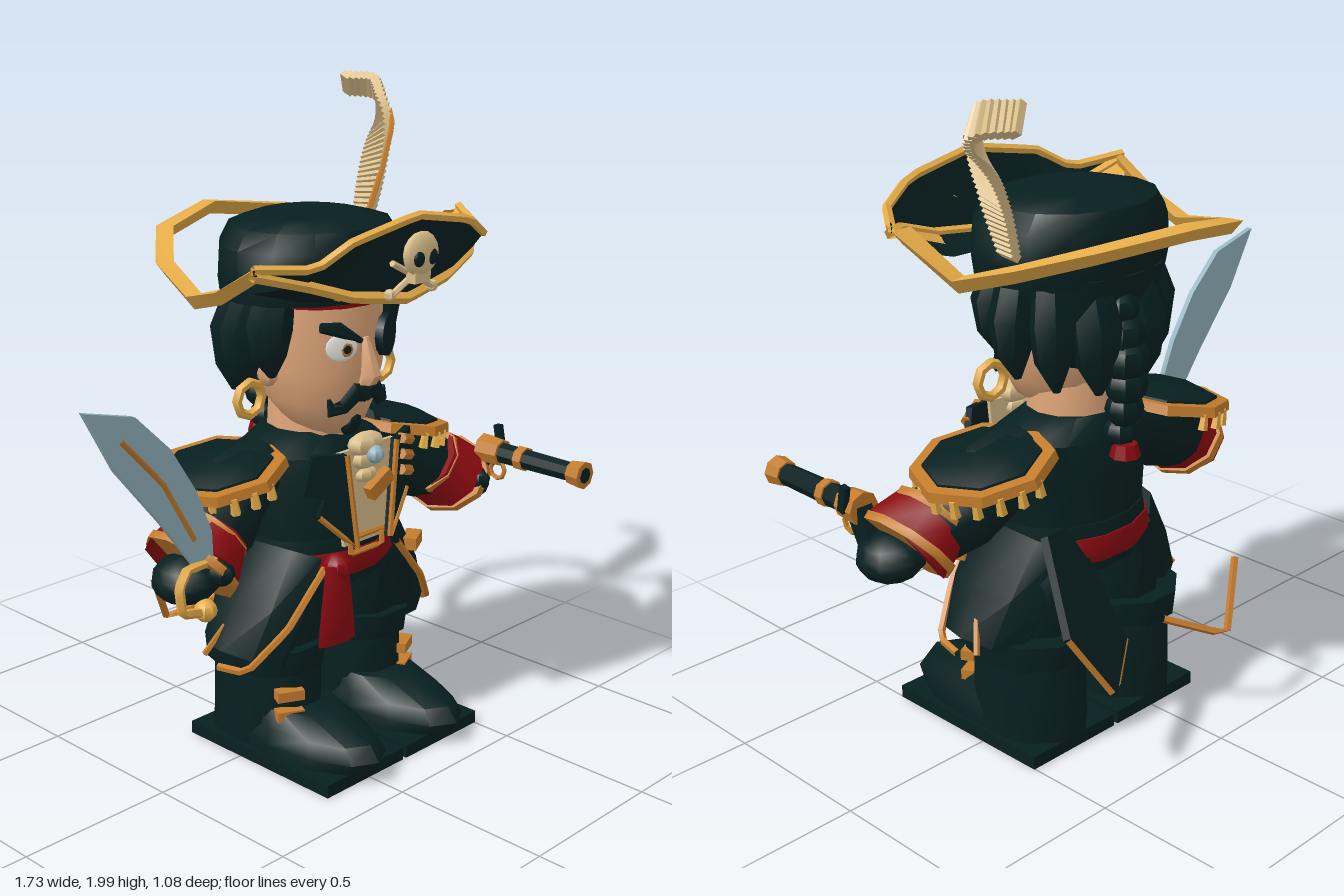
import * as THREE from 'three';
import { toCreasedNormals, mergeGeometries } from 'three/addons/utils/BufferGeometryUtils.js';

const mat = (name, color, side = THREE.FrontSide) => {
  const m = new THREE.MeshStandardMaterial({ color, side });
  m.name = name;
  return m;
};
const V = (p) => new THREE.Vector3(p[0], p[1], p[2]);

function build(pos, idx) {
  const g = new THREE.BufferGeometry();
  g.setAttribute('position', new THREE.Float32BufferAttribute(pos, 3));
  g.setIndex(idx);
  return g;
}
// Tube of elliptical rings; each row is [x, y, z, radiusAcross, radiusDepth]
function loft(rows, n = 10) {
  const pos = [], idx = [], c = rows.map(V), Z = new THREE.Vector3(0, 0, 1);
  rows.forEach((r, i) => {
    const t = c[Math.min(i + 1, c.length - 1)].clone().sub(c[Math.max(i - 1, 0)]);
    if (Math.abs(t.x) < 1e-6) t.set(0, Math.sign(t.y), 0); // upright parts keep level rings
    t.normalize();
    const u = t.clone().cross(Z).normalize(), v = u.clone().cross(t);
    for (let j = 0; j < n; j++) {
      const a = (j / n) * Math.PI * 2;
      const p = c[i].clone().addScaledVector(u, r[3] * Math.cos(a)).addScaledVector(v, (r[4] ?? r[3]) * Math.sin(a));
      pos.push(p.x, p.y, p.z);
      if (i < rows.length - 1) {
        const k = i * n + j, b = i * n + ((j + 1) % n);
        idx.push(k, k + n, b, b, k + n, b + n);
      }
    }
  });
  const last = rows.length - 1, s = rows.length * n;
  pos.push(...c[0].toArray(), ...c[last].toArray());
  for (let j = 0; j < n; j++) {
    const q = (j + 1) % n;
    idx.push(s, j, q, s + 1, last * n + q, last * n + j);
  }
  return build(pos, idx);
}
// Open ribbon between two rows of points
function ribbon(a, b) {
  const idx = [];
  for (let i = 0; i < a.length - 1; i++) idx.push(i, a.length + i, i + 1, i + 1, a.length + i, a.length + i + 1);
  return build([...a, ...b].flat(), idx);
}
const trim = (pts, r = 0.012) => {
  const path = new THREE.CurvePath();
  for (let i = 1; i < pts.length; i++) path.add(new THREE.LineCurve3(V(pts[i - 1]), V(pts[i])));
  return new THREE.TubeGeometry(path, (pts.length - 1) * 4, r, 5);
};
const plate = (pts, depth) => new THREE.ExtrudeGeometry(new THREE.Shape(pts.map((p) => new THREE.Vector2(...p))), { depth, bevelEnabled: false });
const ball = (r, w = 12, h = 8) => new THREE.SphereGeometry(r, w, h);
const box = (x, y, z) => new THREE.BoxGeometry(x, y, z);
const cyl = (a, b, h, n = 10) => new THREE.CylinderGeometry(a, b, h, n);

export function createModel() {
  const dark = mat('darkCloth', 0x071f20), darkTwo = mat('darkClothOpen', 0x071f20, THREE.DoubleSide);
  const gold = mat('brightGold', 0xebb04a, THREE.DoubleSide), brass = mat('brass', 0xc47c2c);
  const red = mat('redCloth', 0x8a0a10), skin = mat('skin', 0xdfa679), cream = mat('cream', 0xdcc08c);
  const steel = mat('steel', 0x95b4c0), white = mat('eyeWhite', 0xeeeeea);
  const none = [0, 0, 0], one = [1, 1, 1];
  const root = new THREE.Group(), body = new THREE.Group();
  root.name = 'pirate';
  body.name = 'body';
  body.position.x = 0.16;
  root.add(body);
  const add = (name, geo, m, p = none, rot = none, sc = one, parent = body) => {
    const mesh = new THREE.Mesh(toCreasedNormals(geo, 0.75), m);
    mesh.name = name;
    mesh.position.set(...p);
    mesh.rotation.set(...rot);
    mesh.scale.set(...sc);
    parent.add(mesh);
  };

  // Torso, shirt and waist
  add('coat', loft([[0, 0.54, -0.02, 0.25, 0.2], [0, 0.65, -0.02, 0.24, 0.2], [0, 0.8, -0.02, 0.26, 0.2], [0, 0.94, -0.04, 0.26, 0.18], [0, 1, -0.05, 0.15, 0.13]], 14), dark);
  add('neck', cyl(0.13, 0.14, 0.2, 12), skin, [0, 1, -0.04]);
  add('shirt', plate([[-0.09, 0.67], [0.09, 0.67], [0.12, 0.97], [-0.12, 0.97]], 0.012), cream, [0, 0, 0.18]);
  [[0.975, 0.062], [0.93, 0.052], [0.88, 0.04]].forEach(([y, r]) => add('ruffle', ball(r, 8, 6), cream, [0, y, 0.19], none, [1.2, 0.6, 0.6]));
  add('brooch', ball(0.028, 8, 6), steel, [0, 0.95, 0.228]);
  add('sash', loft([[0, 0.57, -0.02, 0.26, 0.21], [0, 0.6, -0.02, 0.275, 0.225], [0, 0.65, -0.02, 0.26, 0.215]], 14), red);
  add('belt', loft([[0, 0.645, -0.02, 0.255, 0.21], [0, 0.69, -0.02, 0.25, 0.205]], 14), dark);
  add('buckle', trim([[-0.07, 0.645, 0], [0.07, 0.645, 0], [0.07, 0.695, 0], [-0.07, 0.695, 0], [-0.07, 0.645, 0]], 0.009), brass, [0, 0, 0.2]);
  add('sashEnd', loft([[-0.14, 0.63, 0.21, 0.05, 0.02], [-0.16, 0.5, 0.23, 0.07, 0.025], [-0.165, 0.4, 0.235, 0.08, 0.018]], 6), red);
  add('sashKnot', ball(0.045, 8, 6), red, [-0.13, 0.62, 0.2]);
  add('pouch', box(0.09, 0.04, 0.05), brass, [0.29, 0.575, 0.13], [0, 0.5, 0]);
  for (let i = 0; i < 3; i++) add('coatButton', cyl(0.018, 0.018, 0.09, 6), brass, [0.18, 0.95 - i * 0.05, 0.19], [0, 0.4, 1.25]);
  add('chestClasp', box(0.1, 0.045, 0.03), brass, [0.04, 0.845, 0.21], [0, 0, 0.5]);

  // Mirrored parts of coat, arms and legs
  for (const s of [-1, 1]) {
    const m = (rows) => rows.map(([x, ...r]) => [x * s, ...r]);
    const lapel = [[0.07, 0.67], [0.11, 0.97], [0.22, 0.98], [0.25, 0.86], [0.18, 0.84], [0.2, 0.79]];
    add('lapel', plate(m(lapel), 0.02), dark, [0, 0, 0.235], [0, s * 0.35, 0]);
    add('lapelTrim', trim(m([lapel[1], lapel[0], lapel[5]].map((p) => [...p, 0.02])), 0.009), brass, [0, 0, 0.235], [0, s * 0.35, 0]);

    add('coatSkirt', loft(m([[0.31, 0.33, 0, 0.12, 0.14], [0.25, 0.47, 0, 0.12, 0.17], [0.17, 0.64, -0.01, 0.1, 0.18]]), 8), dark);
    add('skirtTrim', trim(m([[0.16, 0.62, 0.18], [0.3, 0.46, 0.165], [0.41, 0.335, 0.1], [0.43, 0.33, 0]])), brass);
    add('skirtSideTrim', trim(m([[0.31, 0.55, 0.03], [0.37, 0.45, -0.02], [0.42, 0.345, -0.07]]), 0.01), brass);
    const tail = new THREE.Group();
    tail.name = 'coatTail';
    tail.position.set(s * 0.2, 0.69, -0.17);
    tail.rotation.set(0.55, s * 0.35, 0);
    body.add(tail);
    const t = m([[-0.08, 0], [0.08, 0], [0.17, -0.28], [0.05, -0.48], [-0.12, -0.36]]);
    if (s > 0) add('tailCloth', plate(t, 0.025), dark, [0, 0, -0.02], none, one, tail);
    add('tailTrim', trim([t[2], t[3], t[4]].map((p) => [...p, -0.01])), brass, none, none, one, tail);

    add('sleeve', loft(m([[0.2, 0.92, -0.04, 0.09], [0.33, 0.86, -0.04, 0.125], [0.42, 0.79, -0.01, 0.13], [0.52, 0.74, 0.02, 0.11]]), 10), dark);
    const cuff = [[0.48, 0.775, 0.02, 0.113, 0.125], [0.565, 0.71, 0.04, 0.128, 0.16]];
    add('cuff', loft(m(cuff), 10), red);
    for (const [x, y, z, r, d] of cuff)
      add('cuffTrim', loft(m([[x - 0.01, y + 0.008, z, r + 0.006, d + 0.006], [x + 0.01, y - 0.008, z, r + 0.006, d + 0.006]]), 10), brass);
    add('glove', ball(0.1), dark, [s * 0.605, 0.685, 0.06], [0, 0, s * -0.2], [1, 0.7, 1.05]);
    add('thumb', ball(0.04, 8, 6), dark, [s * 0.57, 0.72, 0.16], none, [1, 1, 1.3]);

    // Shoulder boards with fringe
    const ep = new THREE.Group();
    ep.name = 'epaulette';
    ep.position.set(s * 0.37, 0.93, -0.06);
    ep.rotation.z = -s * 0.2;
    body.add(ep);
    add('epauletteTop', loft([[0, -0.02, 0, 0.17, 0.175], [0, 0.012, 0, 0.165, 0.17], [0, 0.035, 0, 0.1, 0.11]], 8), dark, none, none, one, ep);
    add('epauletteTrim', loft([[0, -0.025, 0, 0.205, 0.215], [0, 0.005, 0, 0.2, 0.208]], 8), brass, none, none, one, ep);
    for (let i = 0; i < 11; i++) {
      const a = -1.7 + (i / 10) * 3.4;
      add('tassel', cyl(0.011, 0.016, 0.05, 5), gold, [s * Math.cos(a) * 0.185, -0.04, Math.sin(a) * 0.195], none, one, ep);
    }

    // Legs and boots
    add('trouserLeg', loft(m([[0.175, 0.28, -0.03, 0.13, 0.15], [0.17, 0.42, -0.03, 0.135, 0.17], [0.165, 0.52, -0.03, 0.135, 0.185], [0.13, 0.6, -0.03, 0.12, 0.18]]), 10), dark);
    add('bootShaft', loft(m([[0.182, 0.04, -0.04, 0.157, 0.19], [0.182, 0.18, -0.04, 0.152, 0.19], [0.182, 0.31, -0.04, 0.148, 0.19]]), 10), dark);
    add('bootCuff', loft(m([[0.19, 0.285, -0.04, 0.175, 0.195], [0.19, 0.365, -0.04, 0.18, 0.205]]), 10), dark);
    add('foot', loft(m([[0.18, 0.03, 0.1, 0.155, 0.3], [0.18, 0.075, 0.11, 0.155, 0.315], [0.18, 0.12, 0.1, 0.135, 0.29], [0.18, 0.17, 0.03, 0.12, 0.19]]), 12), dark);
    add('sole', box(0.335, 0.04, 0.59), dark, [s * 0.175, 0.02, 0.075]);
    for (let i = 0; i < 2; i++) add('bootStrap', box(0.085, 0.032, 0.04), brass, [s * 0.26, 0.16 + i * 0.065, 0.13], [0, s * 0.45, 0]);

    // Face halves, ears and hair
    add('moustache', loft(m([[0, 1.13, 0.19, 0.026, 0.015], [0.04, 1.14, 0.187, 0.032, 0.015], [0.08, 1.1, 0.172, 0.027, 0.016], [0.11, 1.09, 0.15, 0.022, 0.016], [0.118, 1.125, 0.15, 0.006]]), 6), dark);
    add('earring', new THREE.TorusGeometry(0.05, 0.015, 6, 8), gold, [s * 0.285, 1.13, -0.01]);
    add('ear', ball(0.04, 8, 6), skin, [s * 0.2, 1.2, -0.02], none, [0.7, 1.3, 1]);
    const locks = [[0.235, 1.32, 0.02, 0.13, 0.07], [0.255, 1.29, -0.07, 0.15, 0.07], [0.2, 1.28, -0.17, 0.17, 0.07], [0.09, 1.26, -0.23, 0.17, 0.08]];
    for (const [x, y, z, h, r] of locks)
      add('hairLock', loft(m([[x * 0.94, y - h, z, 0.012], [x, y - h * 0.5, z, r * 0.75], [x, y + 0.02, z, r], [x * 0.85, y + h, z * 0.8, r * 0.8]]), 7), dark);
  }

  // Head and face
  add('head', loft([[0, 0.99, 0.03, 0.07], [0, 1.03, 0.02, 0.125, 0.125], [0, 1.1, 0, 0.17, 0.17], [0, 1.2, 0, 0.195, 0.188], [0, 1.42, -0.01, 0.2, 0.19]], 18), skin);
  add('nose', loft([[0, 1.16, 0.19, 0.03, 0.03], [0, 1.19, 0.205, 0.03, 0.035], [0, 1.3, 0.18, 0.012, 0.012]], 6), skin);
  add('goatee', ball(0.04, 8, 6), dark, [0, 1.03, 0.125], [0.3, 0, 0], [0.9, 1.1, 0.8]);
  add('eye', ball(0.05), white, [-0.088, 1.28, 0.17], [0, -0.45, 0], [1, 0.85, 0.15]);
  add('iris', ball(0.024, 8, 6), brass, [-0.078, 1.275, 0.179], [0, -0.45, 0], [1, 1, 0.2]);
  add('pupil', ball(0.013, 8, 6), dark, [-0.078, 1.275, 0.184], [0, -0.45, 0], [1, 1, 0.2]);
  add('eyebrow', loft([[-0.15, 1.345, 0.145, 0.015], [-0.1, 1.335, 0.17, 0.022, 0.014], [-0.03, 1.295, 0.195, 0.008]], 6), dark);
  add('eyePatch', cyl(0.066, 0.066, 0.025, 12), dark, [0.11, 1.285, 0.163], [Math.PI / 2, 0, -0.42]);
  add('headScarf', loft([[0, 1.393, -0.015, 0.21, 0.2], [0, 1.43, -0.015, 0.215, 0.205]], 16), red);
  add('hair', loft([[0, 1.16, -0.14, 0.13, 0.07], [0, 1.24, -0.12, 0.22, 0.14], [0, 1.43, -0.1, 0.26, 0.19]], 12), dark);
  for (let i = 0; i < 6; i++) add('ponytail', ball(0.075 - Math.abs(i - 2) * 0.007, 8, 6), dark, [0.02, 1.33 - i * 0.072, -0.25 - Math.sin(i * 0.6) * 0.025], none, [1, 0.9, 0.85]);
  add('hairTie', cyl(0.035, 0.045, 0.04, 8), red, [0.03, 0.925, -0.28]);

  // Hat
  add('hatCrown', loft([[0, 1.41, -0.04, 0.3, 0.24], [0, 1.47, -0.04, 0.305, 0.255], [0, 1.56, -0.04, 0.3, 0.25], [0, 1.615, -0.045, 0.26, 0.225], [0, 1.64, -0.05, 0.16, 0.15]], 14), dark);
  const top = [[-0.54, 1.59, 0.27], [-0.36, 1.57, 0.32], [-0.25, 1.635, 0.355], [0, 1.68, 0.37], [0.25, 1.635, 0.355], [0.36, 1.575, 0.32], [0.55, 1.6, 0.07]];
  const low = [[-0.54, 1.575, 0.27], [-0.35, 1.52, 0.28], [-0.2, 1.47, 0.31], [0, 1.44, 0.335], [0.2, 1.47, 0.31], [0.35, 1.52, 0.28], [0.55, 1.585, 0.07]];
  const inner = [[-0.43, 1.49, 0.15], [-0.25, 1.44, 0.17], [0, 1.43, 0.19], [0.25, 1.44, 0.17], [0.4, 1.49, 0.12]];
  add('hatBrim', ribbon(top, low), darkTwo);
  add('hatBrimUnder', ribbon(low.slice(1, 6), inner), darkTwo);
  add('brimTopTrim', trim(top, 0.014), gold);
  add('brimLowTrim', trim(low, 0.018), gold);
  const edge = low.map(([x, y, z]) => [x * 1.01, y + 0.012, z + 0.008]);
  const ledge = low.map(([x, y, z]) => [x * 0.93, y - 0.025, z - 0.06]);
  for (const [a, b] of [[0, 3], [4, 7]]) add('brimSideBand', ribbon(edge.slice(a, b), ledge.slice(a, b)), gold);
  const rim = [[-0.54, 1.59, 0.27], [-0.52, 1.5, 0.1], [-0.49, 1.46, -0.05], [-0.4, 1.51, -0.28], [-0.23, 1.57, -0.47], [0.03, 1.61, -0.54], [0.31, 1.58, -0.44], [0.45, 1.53, -0.28], [0.48, 1.47, -0.08], [0.55, 1.59, 0.07]];
  const rimIn = rim.map(([x, y, z]) => [x * 0.89, y + 0.003, z * 0.89]);
  const rimLow = rim.map(([x, y, z]) => [x * 0.94, y - 0.04, z * 0.94]);
  add('backRim', ribbon(rim, rimIn), gold);
  add('backRimOuter', ribbon(rim, rimLow), gold);
  add('backRimInner', ribbon(rimIn, rimLow), gold);

  // Skull ornament
  add('skull', ball(0.07, 10, 8), cream, [0, 1.575, 0.385], none, [1.05, 0.9, 0.36]);
  add('skullJaw', box(0.065, 0.045, 0.035), cream, [0, 1.515, 0.378]);
  for (const s of [-1, 1]) {
    add('skullEye', ball(0.023, 8, 6), dark, [s * 0.028, 1.565, 0.404], none, [1, 1, 0.4]);
    add('crossBone', cyl(0.01, 0.01, 0.2, 6), cream, [0, 1.51, 0.358], [0, 0, s * 1.1]);
    add('boneEnd', ball(0.018, 6, 5), cream, [s * 0.09, 1.465, 0.352]);
  }

  // Feather made of overlapping barbs on a quill
  const curve = new THREE.CatmullRomCurve3([[0.5, 1.53, -0.15], [0.57, 1.7, -0.17], [0.67, 1.86, -0.225], [0.735, 1.935, -0.31], [0.69, 1.945, -0.39]].map(V));
  const barbs = [];
  for (let i = 0; i < 36; i++) {
    const k = i / 35, t = curve.getTangentAt(k);
    const w = t.clone().cross(new THREE.Vector3(1, k * 0.9, 0)).normalize();
    const b = box(0.022, 0.032, 0.06 + 0.05 * Math.sin(Math.min(1, k * 1.2) * 2.4));
    b.rotateZ(0.5);
    b.applyMatrix4(new THREE.Matrix4().makeBasis(t.clone().cross(w), t, w).setPosition(curve.getPointAt(k)));
    barbs.push(b);
  }
  add('feather', mergeGeometries(barbs), cream, none, none, one, root);
  add('quill', trim([[0.48, 1.57, -0.11], [0.56, 1.71, -0.12], [0.63, 1.84, -0.14], [0.67, 1.88, -0.19]], 0.009), brass, none, none, one, root);

  // Curved sword
  add('swordBlade', plate([[-0.5, 0.76], [-0.43, 0.76], [-0.435, 0.85], [-0.49, 0.98], [-0.58, 1.12], [-0.7, 1.235], [-0.87, 1.28], [-0.77, 1.1], [-0.62, 0.92]], 0.018), steel, [0, 0, 0.141], none, one, root);
  add('swordGroove', trim([[-0.75, 1.18, 0.155], [-0.61, 1.03, 0.155], [-0.5, 0.84, 0.155]], 0.01), brass, none, none, one, root);
  add('swordGuard', trim([[-0.42, 0.76, 0.15], [-0.53, 0.76, 0.16], [-0.57, 0.72, 0.17], [-0.56, 0.64, 0.17], [-0.46, 0.61, 0.15]], 0.015), gold, none, none, one, root);
  add('swordPommel', ball(0.034, 8, 6), gold, [-0.455, 0.615, 0.15], none, one, root);

  // Pistol
  const gun = new THREE.Group();
  gun.name = 'pistol';
  gun.position.set(0.79, 0.8, 0);
  root.add(gun);
  const tubes = [['barrel', 0.032, 0.036, 0.36, 0.33, dark], ['muzzle', 0.045, 0.038, 0.05, 0.515, brass], ['barrelBand', 0.04, 0.04, 0.03, 0.3, brass], ['breech', 0.044, 0.05, 0.08, 0.18, brass]];
  for (const [name, a, b, h, z, m] of tubes) add(name, cyl(a, b, h, 8), m, [0, 0.005, z], [Math.PI / 2, 0, 0], one, gun);
  add('muzzleHole', cyl(0.026, 0.026, 0.006, 8), dark, [0, 0.005, 0.539], [Math.PI / 2, 0, 0], one, gun);
  add('pistolGrip', box(0.05, 0.14, 0.06), dark, [0, -0.06, 0.13], [0.5, 0, 0], one, gun);
  add('hammer', box(0.02, 0.08, 0.025), dark, [0.045, 0.04, 0.17], [-0.2, 0, 0], one, gun);
  add('triggerGuard', new THREE.TorusGeometry(0.03, 0.008, 5, 8), brass, [0, -0.055, 0.2], [0, Math.PI / 2, 0], one, gun);
  return root;
}
